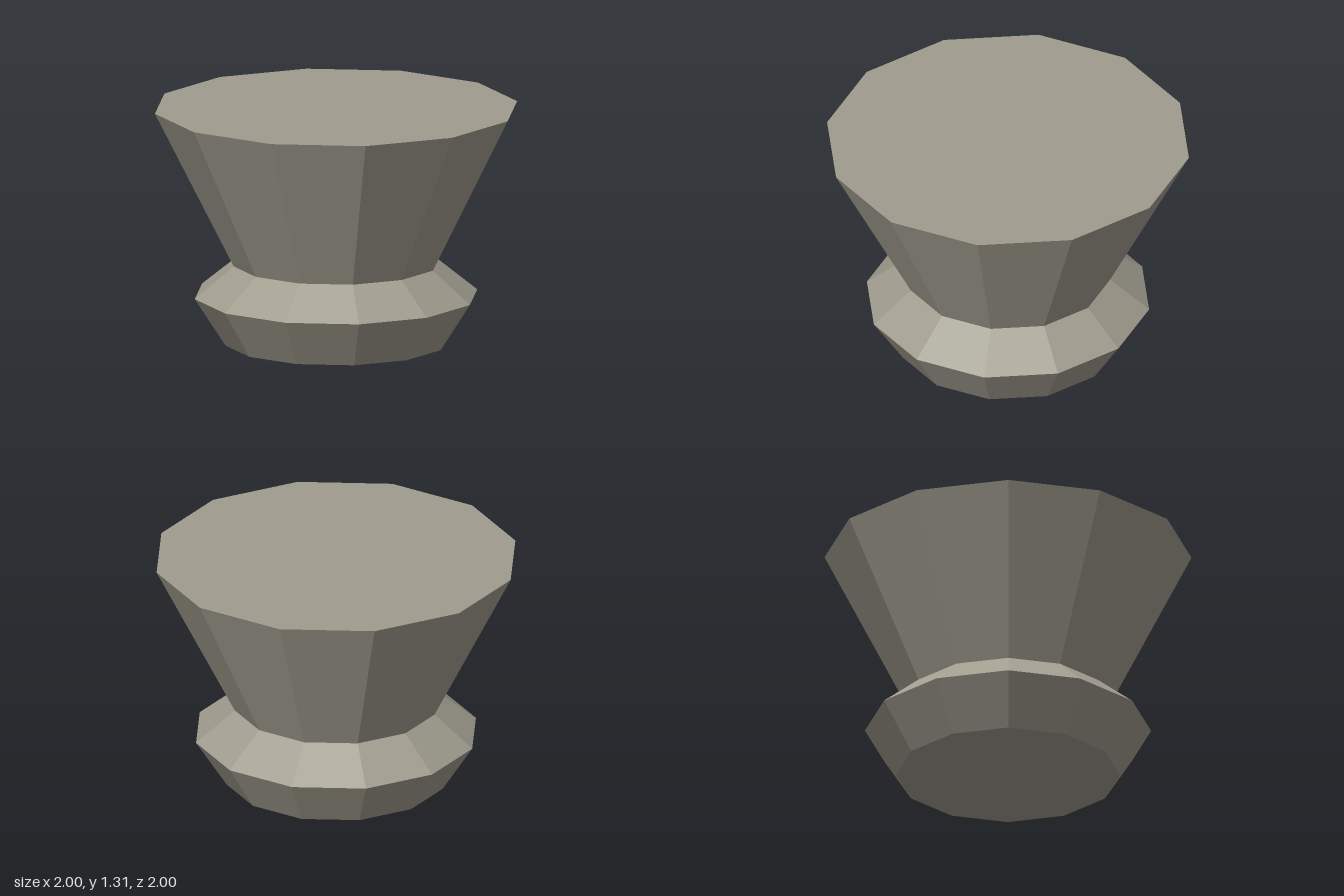
import * as THREE from 'three';

const SIDES = 12;

export function createModel() {
  const group = new THREE.Group();
  group.name = 'flaredPedestal';

  const stone = new THREE.MeshStandardMaterial({ color: 0xa09c8e, flatShading: true });
  stone.name = 'warm grey stone';

  // Faceted ring between two heights, without caps
  const addRing = (name, y0, r0, y1, r1) => {
    const geometry = new THREE.CylinderGeometry(r1, r0, y1 - y0, SIDES, 1, true);
    const mesh = new THREE.Mesh(geometry, stone);
    mesh.name = name;
    mesh.position.y = (y0 + y1) / 2;
    group.add(mesh);
  };

  // Flat twelve-sided lid, facing up or down
  const addCap = (name, y, radius, up) => {
    const mesh = new THREE.Mesh(new THREE.CircleGeometry(radius, SIDES), stone);
    mesh.name = name;
    mesh.rotation.x = up ? -Math.PI / 2 : Math.PI / 2;
    mesh.position.y = y;
    group.add(mesh);
  };

  // Foot flares out to the rim, collar narrows to the neck, body flares to the top
  addCap('underside', 0, 0.61, false);
  addRing('foot', 0, 0.61, 0.265, 0.78);
  addRing('collar', 0.265, 0.78, 0.44, 0.565);
  addRing('flaredBody', 0.44, 0.565, 1.307, 1);
  addCap('topSurface', 1.307, 1, true);

  return group;
}
